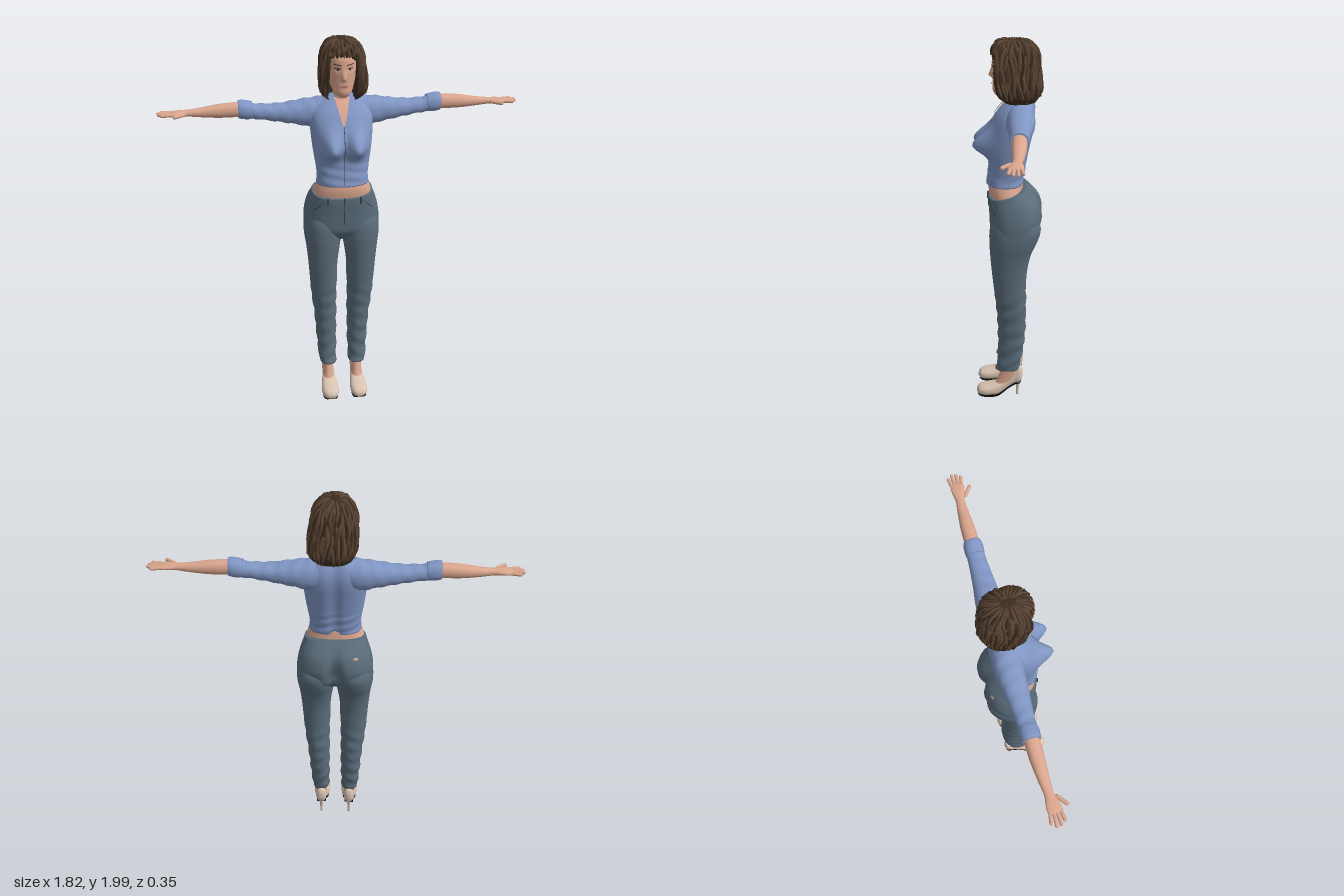
import * as THREE from 'three';
import { mergeGeometries } from 'three/addons/utils/BufferGeometryUtils.js';

const { smoothstep } = THREE.MathUtils;
const gauss = (d, w) => Math.exp(-((d / w) ** 2));

// Smoothly interpolated rows of [t, centre, halfWidth, low, high]
function sections(rows) {
  const spline = new THREE.CubicInterpolant(rows.map(r => r[0]), rows.flatMap(r => r.slice(1)), 4);
  return t => [...spline.evaluate(t)];
}

// Ring point on a rounded section
function ringPoint([c, r, lo, hi], u, n) {
  const pw = v => Math.sign(v) * Math.abs(v) ** (2 / n);
  return [c + r * pw(Math.cos(u)), (lo + hi) / 2 + (hi - lo) / 2 * pw(Math.sin(u))];
}

// Closed skin through the rows; axis says which way t runs
function loft(rows, { axis = 'y', n = 2.2, seg = 40, sub = 6, warp } = {}) {
  const at = sections(rows), ts = [], pos = [], idx = [];
  rows.forEach((r, i) => {
    if (i) for (let k = 1; k <= sub; k++) ts.push(THREE.MathUtils.lerp(rows[i - 1][0], r[0], k / sub));
    else ts.push(r[0]);
  });
  const put = (a, t, b) => {
    const p = new THREE.Vector3(...(axis === 'y' ? [a, t, b] : axis === 'x' ? [t, b, a] : [b, a, t]));
    if (warp) warp(p);
    pos.push(p.x, p.y, p.z);
  };
  for (const t of ts) for (let j = 0; j < seg; j++) {
    const [a, b] = ringPoint(at(t), j / seg * Math.PI * 2, n);
    put(a, t, b);
  }
  const last = ts.length - 1, cap = ts.length * seg;
  for (const t of [ts[0], ts[last]]) {
    const s = at(t);
    put(s[0], t, (s[2] + s[3]) / 2);
  }
  for (let j = 0; j < seg; j++) {
    const k = (j + 1) % seg;
    for (let i = 0; i < last; i++) {
      const a = i * seg + j, b = i * seg + k;
      idx.push(a, a + seg, b, b, a + seg, b + seg);
    }
    idx.push(cap, j, k, cap + 1, last * seg + k, last * seg + j);
  }
  const g = new THREE.BufferGeometry();
  g.setAttribute('position', new THREE.Float32BufferAttribute(pos, 3));
  g.setIndex(idx);
  g.computeVertexNormals();
  return g;
}

// Front depth of a lofted body at x, y
function frontOf(rows, n, bump) {
  const at = sections(rows);
  return (x, y) => {
    const [c, r, lo, hi] = at(y), k = Math.min(1, Math.abs((x - c) / r));
    return (lo + hi) / 2 + (hi - lo) / 2 * (1 - k ** n) ** (1 / n) + bump(x, y);
  };
}

// Lays a flat geometry on a surface
function drape(g, surf, lift) {
  const p = g.attributes.position;
  for (let i = 0; i < p.count; i++) p.setZ(i, surf(p.getX(i), p.getY(i)) + lift);
  g.computeVertexNormals();
  return g;
}
const disc = (x, y, rx, ry) => new THREE.CircleGeometry(1, 16).scale(rx, ry, 1).translate(x, y, 0);

// Four-cornered patch: top left, top right, bottom left, bottom right
function patch(tl, tr, bl, br) {
  const g = new THREE.PlaneGeometry(1, 1, 10, 10), p = g.attributes.position;
  const mix = (a, b, k) => a.map((v, i) => v + (b[i] - v) * k);
  for (let i = 0; i < p.count; i++) {
    const u = p.getX(i) + 0.5, v = 0.5 - p.getY(i);
    p.setXY(i, ...mix(mix(tl, tr, u), mix(bl, br, u), v));
  }
  return g;
}

function mirrored(g) {
  const m = g.clone().scale(-1, 1, 1), a = m.index.array;
  for (let i = 0; i < a.length; i += 3) [a[i], a[i + 1]] = [a[i + 1], a[i]];
  return m;
}

// Tapered strand of hair
function lock(points, radius) {
  const path = new THREE.CatmullRomCurve3(points), seg = 20, sides = 6;
  const g = new THREE.TubeGeometry(path, seg, radius, sides), p = g.attributes.position;
  const v = new THREE.Vector3();
  for (let i = 0; i < p.count; i++) {
    const k = Math.floor(i / (sides + 1)) / seg, c = path.getPointAt(k);
    v.fromBufferAttribute(p, i).sub(c).multiplyScalar(0.25 + 0.75 * Math.sin(Math.PI * Math.min(1, k * 0.9 + 0.05))).add(c);
    p.setXYZ(i, v.x, v.y, v.z);
  }
  g.computeVertexNormals();
  return g;
}

const TORSO = [[1.265, 0, .134, -.076, .114], [1.3, 0, .13, -.08, .11], [1.36, 0, .136, -.09, .103], [1.42, 0, .145, -.1, .098],
  [1.5, 0, .154, -.117, .095], [1.56, 0, .158, -.13, .085], [1.62, 0, .155, -.134, .06], [1.66, 0, .132, -.126, .03],
  [1.69, 0, .095, -.112, 0], [1.715, 0, .058, -.095, -.02]];
const HEAD = [[1.717, 0, .02, .02, .068], [1.74, 0, .044, -.03, .08], [1.77, 0, .058, -.09, .081], [1.82, 0, .069, -.11, .081],
  [1.87, 0, .073, -.12, .083], [1.92, 0, .07, -.12, .075], [1.96, 0, .05, -.1, .04], [1.975, 0, .01, -.05, -.02]];
const HAIR = [[1.69, .01, .09, -.13, .03], [1.72, .013, .113, -.157, .062], [1.78, .012, .114, -.157, .08], [1.85, .006, .107, -.15, .09],
  [1.92, .004, .1, -.142, .086], [1.96, .003, .081, -.122, .07], [1.982, 0, .052, -.09, .04], [1.99, 0, .01, -.045, 0]];

export function createModel() {
  const root = new THREE.Group();
  const mat = (name, color, side = THREE.FrontSide) => {
    const m = new THREE.MeshStandardMaterial({ color, side });
    m.name = name;
    return m;
  };
  const skin = mat('skin', 0xdba68e), shirt = mat('blueShirt', 0x8096c4, THREE.DoubleSide);
  const denim = mat('greyDenim', 0x5a6c7a), darkDenim = mat('darkDenim', 0x35424d);
  const hair = mat('brownHair', 0x5a4433), darkHair = mat('darkBrownHair', 0x3c2c20);
  const shoeMat = mat('beigeLeather', 0xd9c3b1), black = mat('blackSole', 0x0a0a0a, THREE.DoubleSide);
  const lip = mat('lips', 0xb5706a), eyeWhite = mat('eyeWhite', 0xcfc4bd);
  const add = (name, g, m) => {
    const mesh = new THREE.Mesh(g, m);
    mesh.name = name;
    root.add(mesh);
  };
  const pair = (name, g, m) => {
    add(name + 'Left', g, m);
    add(name + 'Right', mirrored(g), m);
  };

  // Shirt body
  const bust = (x, y) => .09 * gauss(Math.abs(x) - .062, .052) * gauss(y - 1.47, y > 1.47 ? .075 : .05);
  add('shirtBody', loft(TORSO, { n: 2.5, seg: 80, warp: p => {
    p.z += p.z > 0 ? bust(p.x, p.y) * smoothstep(p.z, 0, .06) : .012 * gauss(p.x, .03) * smoothstep(-p.z, .03, .08);
    p.z += .002 * Math.sin(p.y * 120 + p.x * 25) * smoothstep(1.42 - p.y, 0, .06);
  } }), shirt);
  const chest = frontOf(TORSO, 2.5, bust);
  add('openNeckline', drape(patch([-.052, 1.7], [.052, 1.7], [-.002, 1.575], [.002, 1.575]), chest, .004), skin);
  pair('collar', drape(patch([.04, 1.705], [.07, 1.7], [.012, 1.61], [.105, 1.645]), (x, y) => chest(x, y), .011), shirt);
  add('buttonSeam', drape(patch([-.0015, 1.575], [.0015, 1.575], [-.0015, 1.275], [.0015, 1.275]), chest, .002), darkDenim);

  // Sleeves, forearms and hands
  pair('sleeve', loft([[.04, -.055, .066, 1.56, 1.7], [.12, -.06, .072, 1.535, 1.688], [.2, -.062, .065, 1.55, 1.678],
    [.3, -.06, .054, 1.57, 1.664], [.4, -.06, .045, 1.587, 1.664], [.46, -.06, .042, 1.594, 1.674]],
  { axis: 'x', warp: p => { p.y += .0025 * Math.sin(p.x * 90 + p.z * 30); } }), shirt);
  pair('cuff', loft([[.44, -.06, .043, 1.594, 1.678], [.455, -.06, .046, 1.591, 1.682], [.495, -.06, .046, 1.594, 1.688],
    [.51, -.06, .043, 1.598, 1.686]], { axis: 'x' }), shirt);
  pair('forearm', loft([[.48, -.06, .036, 1.605, 1.679], [.6, -.06, .034, 1.604, 1.672], [.7, -.058, .026, 1.612, 1.657],
    [.76, -.055, .022, 1.619, 1.651], [.8, -.052, .031, 1.622, 1.649], [.835, -.05, .034, 1.625, 1.645],
    [.848, -.05, .028, 1.63, 1.642]], { axis: 'x' }), skin);
  const digit = (r, len, x, z, yaw) => new THREE.CapsuleGeometry(r, len, 4, 10).rotateZ(-Math.PI / 2)
    .rotateY(yaw).translate(x, 1.635, z);
  pair('fingers', mergeGeometries([[.045, .86, -.078, .18], [.06, .87, -.06, .05], [.058, .868, -.041, -.04], [.045, .86, -.023, -.14]]
    .map(([len, x, z, yaw]) => digit(.0085, len, x, z, yaw))), skin);
  pair('thumb', digit(.009, .055, .797, -.008, -.65), skin);

  // Waist, hips and trouser legs
  add('waist', loft([[1.14, 0, .14, -.07, .09], [1.2, 0, .15, -.076, .1], [1.24, 0, .141, -.072, .104], [1.3, 0, .12, -.065, .095]]), skin);
  const hipRows = [[.95, 0, .16, -.1, .06], [1, 0, .193, -.152, .094], [1.05, 0, .198, -.17, .1], [1.1, 0, .193, -.176, .102],
    [1.15, 0, .18, -.16, .105], [1.19, 0, .165, -.12, .107], [1.22, 0, .156, -.09, .106]];
  add('trouserHips', loft(hipRows, { n: 2.5, seg: 72, warp: p => {
    if (p.z < 0) p.z += .05 * gauss(p.x, .03) * gauss(p.y - 1.06, .09) * smoothstep(-p.z, .03, .1);
    p.y -= p.z * .22 * smoothstep(p.y, 1.1, 1.22);
  } }), denim);
  pair('trouserLeg', loft([[.175, .082, .046, -.056, .072], [.22, .083, .048, -.066, .061], [.3, .085, .052, -.08, .055],
    [.4, .088, .056, -.09, .056], [.5, .092, .061, -.094, .059], [.6, .098, .067, -.092, .067], [.7, .1, .073, -.093, .078],
    [.8, .102, .078, -.1, .088], [.9, .1, .09, -.122, .096], [.97, .1, .099, -.152, .099], [1.04, .1, .097, -.167, .094],
    [1.12, .1, .08, -.13, .06]], { warp: p => {
    const fold = .003 * smoothstep(.72 - p.y, 0, .15);
    p.x += fold * Math.sin(p.y * 62 + p.z * 25);
    p.z += fold * Math.sin(p.y * 75 + p.x * 30);
  } }), denim);
  const hipFront = frontOf(hipRows, 2.5, () => 0);
  add('fly', drape(patch([-.002, 1.19], [.002, 1.19], [-.002, 1.05], [.002, 1.05]), hipFront, .003), darkDenim);
  pair('pocketSeam', drape(patch([.096, 1.18], [.1, 1.18], [.15, 1.125], [.154, 1.128]), hipFront, .004), darkDenim);
  for (const x of [-.085, 0, .085])
    add('beltLoop', new THREE.BoxGeometry(.009, .036, .008).translate(x, 1.182, hipFront(x, 1.2) + .003), darkDenim);
  add('backLabel', new THREE.BoxGeometry(.034, .012, .006).rotateX(.5).rotateY(.2).translate(-.1, 1.165, -.142), skin);

  // Feet and high heels
  pair('foot', loft([[.06, .08, .03, -.01, .085], [.1, .08, .03, -.04, .062], [.14, .08, .029, -.062, .048],
    [.18, .08, .028, -.062, .036], [.26, .082, .03, -.05, .03]]), skin);
  const SHOE = [[-.079, .14, .02, .07, .09], [-.07, .14, .045, .056, .104], [-.04, .124, .042, .05, .11], [0, .088, .032, .048, .112],
    [.03, .063, .034, .044, .116], [.06, .047, .038, .038, .122], [.1, .039, .034, .034, .127], [.14, .034, .029, .036, .125],
    [.165, .031, .022, .048, .112], [.176, .029, .01, .065, .095]];
  pair('shoe', loft(SHOE, { axis: 'z', n: 2.5 }), shoeMat);
  const shoeAt = sections(SHOE), sole = new THREE.PlaneGeometry(1, 1, 6, 24), sp = sole.attributes.position;
  for (let i = 0; i < sp.count; i++) {
    const z = -.072 + (sp.getY(i) + .5) * .242, [cy, ry, lo, hi] = shoeAt(z);
    sp.setXYZ(i, (lo + hi) / 2 + sp.getX(i) * (hi - lo) * .86, cy - ry - .003, z);
  }
  sole.computeVertexNormals();
  pair('sole', sole, black);
  pair('stiletto', loft([[0, .08, .007, -.056, -.043], [.05, .08, .008, -.06, -.044], [.09, .08, .013, -.068, -.04],
    [.125, .08, .022, -.074, -.025]], { seg: 16 }), shoeMat);

  // Neck, head and face
  add('neck', loft([[1.64, 0, .06, -.1, .02], [1.69, 0, .045, -.095, .004], [1.78, 0, .042, -.09, .01]]), skin);
  const nose = (x, y) => .02 * gauss(x, .011) * gauss(y - 1.815, y > 1.815 ? .03 : .009)
    - .006 * gauss(Math.abs(x) - .03, .014) * gauss(y - 1.86, .013);
  add('head', loft(HEAD, { seg: 90, sub: 10, warp: p => { if (p.z > .03) p.z += nose(p.x, p.y); } }), skin);
  const face = frontOf(HEAD, 2.2, nose);
  pair('eye', drape(disc(.03, 1.86, .013, .0055), face, .003), eyeWhite);
  pair('iris', drape(disc(.03, 1.86, .0055, .0055), face, .0045), darkHair);
  pair('eyelid', drape(patch([.015, 1.868], [.046, 1.868], [.015, 1.864], [.046, 1.864]), face, .005), darkHair);
  pair('eyebrow', drape(patch([.014, 1.885], [.05, 1.889], [.014, 1.88], [.05, 1.885]), face, .003), hair);
  add('lips', drape(disc(0, 1.776, .019, .0065), face, .004), lip);

  // Hair mass, hollowed around the face
  add('hairMass', loft(HAIR, { seg: 96, sub: 8, warp: p => {
    const open = .074 * Math.sqrt(smoothstep(1.935 - p.y, 0, .05));
    if (p.z > -.03 && Math.abs(p.x + .01) < open) p.z = Math.min(p.z, p.y < 1.76 ? -.04 : -.015);
  } }), darkHair);

  // Wavy locks falling from the crown
  let seed = 7;
  const rand = () => (seed = (seed * 16807) % 2147483647) / 2147483647;
  const hairAt = sections(HAIR), locks = [[], []], count = 84;
  for (let i = 0; i < count; i++) {
    const u = i / count * Math.PI * 2, fromFront = Math.abs(u - Math.PI / 2);
    const end = fromFront < .8 ? 1.915 + .012 * rand() : 1.69 + .035 * rand();
    const phase = rand() * 6, pts = [];
    for (let k = 0; k <= 9; k++) {
      const y = 1.988 - (1.988 - end) * (k / 9) ** 1.6;
      const turn = u + .07 * Math.sin(k * 1.1 + phase) * (fromFront < 1 ? .4 : 1);
      const [x, z] = ringPoint(hairAt(y), turn, 2.2), out = 1 + .03 * Math.sin(k * 1.5 + phase);
      pts.push(new THREE.Vector3(x * out, y, -.03 + (z + .03) * out));
    }
    locks[i % 3 === 2 ? 1 : 0].push(lock(pts, .009 + .003 * rand()));
  }
  add('hairLocks', mergeGeometries(locks[0]), hair);
  add('darkHairLocks', mergeGeometries(locks[1]), darkHair);
  return root;
}
